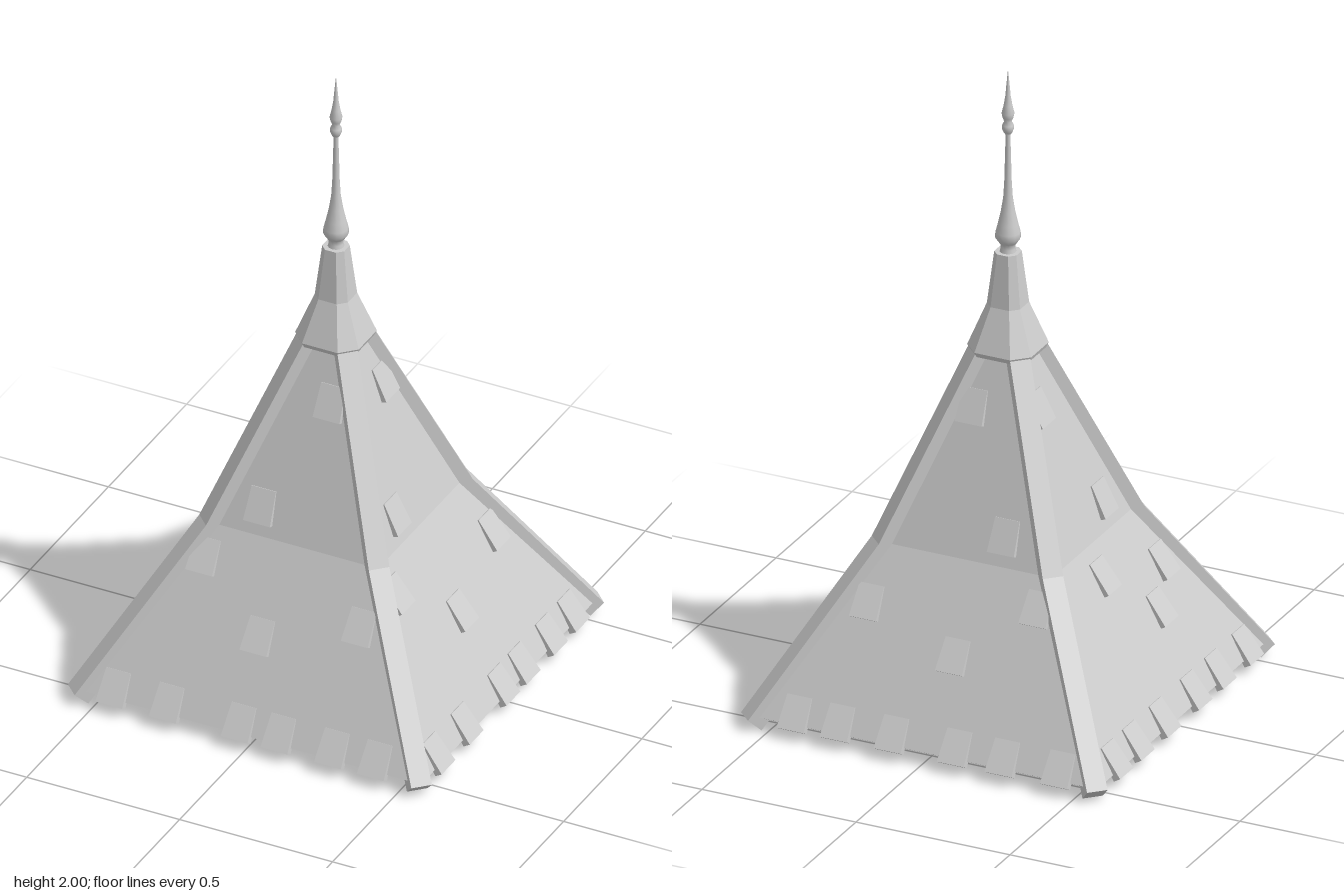
import * as THREE from 'three';

const flat = new THREE.MeshStandardMaterial({ color: 0xcccccc, flatShading: true, side: THREE.DoubleSide });
const smooth = new THREE.MeshStandardMaterial({ color: 0xcccccc, side: THREE.DoubleSide });

function add(parent, name, geometry, material = flat) {
  const mesh = new THREE.Mesh(geometry, material);
  mesh.name = name;
  parent.add(mesh);
  return mesh;
}

// Roof slope: half width at the eaves, the bend and the top
const EAVE = [0.57, 0.042], BEND = [0.282, 0.54], TOP = [0.07, 1.12];
const LOW_TILT = Math.atan2(EAVE[0] - BEND[0], BEND[1] - EAVE[1]);
const HIGH_TILT = Math.atan2(BEND[0] - TOP[0], TOP[1] - BEND[1]);

function halfWidth(y) {
  const [a, b] = y < BEND[1] ? [EAVE, BEND] : [BEND, TOP];
  return a[0] + (b[0] - a[0]) * (y - a[1]) / (b[1] - a[1]);
}

// Square shell with an inner skin and a slanted lower lip
function roofGeometry() {
  const profile = [[0.05, 1.1], [0.266, 0.53], [0.552, 0.032], EAVE, BEND, TOP]
    .map(([w, y]) => new THREE.Vector2(w * Math.SQRT2, y));
  return new THREE.LatheGeometry(profile, 4, Math.PI / 4);
}

// Bent hip beam, drawn as a side outline and extruded to its width
function hipGeometry() {
  const outline = [[0.81, 0.037], [0.408, 0.545], [0.108, 1.12], [0.06, 1.12], [0.36, 0.52], [0.768, 0]];
  const shape = new THREE.Shape(outline.map(([r, y]) => new THREE.Vector2(r, y)));
  const width = 0.063;
  return new THREE.ExtrudeGeometry(shape, { depth: width, bevelEnabled: false }).translate(0, 0, -width / 2);
}

// Wedge shingle: thick at the lower edge, narrower and thinner at the top
function tileGeometry() {
  const length = 0.105;
  const geometry = new THREE.BoxGeometry(0.088, length, 0.024).translate(0, length / 2, 0.004);
  const p = geometry.attributes.position;
  for (let i = 0; i < p.count; i++) {
    if (p.getY(i) > 0.05) {
      p.setX(i, p.getX(i) * 0.9);
      if (p.getZ(i) > 0) p.setZ(i, 0.004);
    }
  }
  return geometry;
}

// Skin over octagonal rings [flat distance, flat half length, y]
function octagonLoft(rings) {
  const positions = [], index = [];
  for (const [w, c, y] of rings) {
    for (const [x, z] of [[w, c], [c, w], [-c, w], [-w, c], [-w, -c], [-c, -w], [c, -w], [w, -c]]) {
      positions.push(x, y, z);
    }
  }
  for (let r = 0; r < rings.length - 1; r++) {
    for (let i = 0; i < 8; i++) {
      const a = r * 8 + i, b = r * 8 + (i + 1) % 8;
      index.push(a, a + 8, b, b, a + 8, b + 8);
    }
  }
  const geometry = new THREE.BufferGeometry();
  geometry.setAttribute('position', new THREE.Float32BufferAttribute(positions, 3));
  geometry.setIndex(index);
  geometry.computeVertexNormals();
  return geometry;
}

export function createModel() {
  const model = new THREE.Group();
  model.name = 'spireRoof';

  add(model, 'roofShell', roofGeometry());

  // Four hip beams on the corners
  const hip = hipGeometry();
  for (let k = 0; k < 4; k++) {
    add(model, 'hipBeam', hip).rotation.y = Math.PI / 4 + k * Math.PI / 2;
  }

  // Raised shingles [sideways, lower edge height] and eave shingles for each side
  const field = [[0.05, 0.91], [-0.115, 0.575], [-0.26, 0.41], [0.27, 0.34], [-0.035, 0.25]];
  const sides = [
    { name: 'front', turn: 0, tiles: field, eaves: [-0.44, -0.265, -0.03, 0.1, 0.275, 0.415] },
    { name: 'left', turn: Math.PI / 2, tiles: field, eaves: [0.42, 0.28, 0.105, -0.025, -0.26, -0.44] },
    { name: 'back', turn: Math.PI, tiles: field.map(([u, y]) => [-u, y]),
      eaves: [0.44, 0.26, 0.105, -0.1, -0.275, -0.415] },
    { name: 'right', turn: -Math.PI / 2,
      tiles: [[-0.055, 0.91], [0.11, 0.575], [-0.045, 0.41], [0.26, 0.34], [0.14, 0.25]],
      eaves: [-0.42, -0.28, -0.105, 0.1, 0.26, 0.44] },
  ];
  const tile = tileGeometry();
  for (const { name, turn, tiles, eaves } of sides) {
    const side = new THREE.Group();
    side.name = name + 'Shingles';
    side.rotation.y = turn;
    for (const [u, y] of [...tiles, ...eaves.map((u) => [u, 0.026])]) {
      const mesh = add(side, 'shingle', tile);
      mesh.position.set(u, y, halfWidth(y));
      mesh.rotation.x = -(y < BEND[1] ? LOW_TILT : HIGH_TILT);
    }
    model.add(side);
  }

  // Flared eight-sided cap with a thin lower rim
  add(model, 'spireCap', octagonLoft([
    [0.06, 0.03, 1.13], [0.098, 0.055, 1.103], [0.104, 0.058, 1.118],
    [0.054, 0.03, 1.25], [0.036, 0.018, 1.415], [0, 0, 1.415],
  ]));

  // Turned finial
  const profile = [
    [0.026, 1.41], [0.022, 1.425], [0.022, 1.437], [0.028, 1.445], [0.038, 1.46], [0.037, 1.478],
    [0.03, 1.505], [0.021, 1.545], [0.014, 1.59], [0.011, 1.64], [0.007, 1.79], [0.013, 1.798],
    [0.018, 1.81], [0.017, 1.822], [0.011, 1.833], [0.016, 1.845], [0.019, 1.86], [0.013, 1.885],
    [0.008, 1.915], [0.004, 1.96], [0, 2],
  ].map(([r, y]) => new THREE.Vector2(r, y));
  add(model, 'finial', new THREE.LatheGeometry(profile, 12), smooth);

  return model;
}
